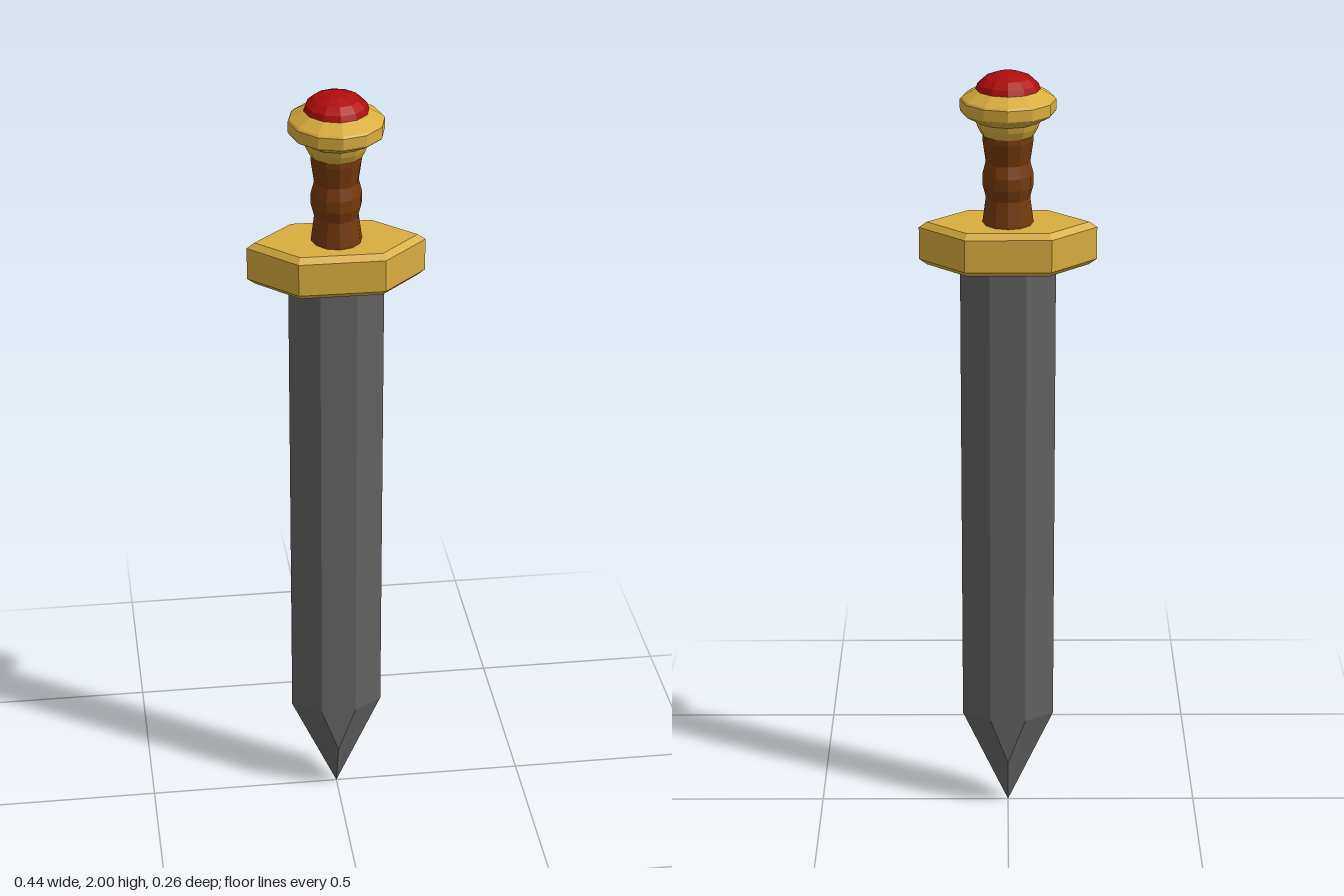
import * as THREE from 'three';

const mat = (name, color) => {
  const m = new THREE.MeshStandardMaterial({ color, flatShading: true });
  m.name = name;
  return m;
};

export function createModel() {
  const group = new THREE.Group();
  const steel = mat('steel', 0x636363);
  const gold = mat('gold', 0xd9ad3e);
  const leather = mat('leather', 0x763a0e);
  const ruby = mat('ruby', 0xaf0d0d);

  const add = (name, geometry, material) => {
    const mesh = new THREE.Mesh(geometry, material);
    mesh.name = name;
    group.add(mesh);
    return mesh;
  };

  // Twelve-sided turned part, slightly deeper than wide
  const turned = (name, profile, material) => {
    const points = profile.map(([r, y]) => new THREE.Vector2(r, y));
    const mesh = add(name, new THREE.LatheGeometry(points, 12), material);
    mesh.scale.z = 1.12;
    return mesh;
  };

  // Blade: hexagonal section, with flats ending in a V above the tip
  const W = 0.12, F = 0.046, D = 0.05, SHOULDER = 0.26, TOP = 1.54;
  const pos = [];
  const tri = (a, b, c, flip) => pos.push(...a, ...(flip ? c : b), ...(flip ? b : c));
  for (const sx of [1, -1]) for (const sz of [1, -1]) {
    const flip = sx * sz < 0;
    const p = (x, y, z) => [x * sx, y, z * sz];
    const tip = p(0, 0, 0), vee = p(0, 0.135, D), midTop = p(0, TOP, D);
    const ridge = p(F, SHOULDER, D), ridgeTop = p(F, TOP, D);
    const edge = p(W, SHOULDER, 0), edgeTop = p(W, TOP, 0);
    tri(vee, ridge, ridgeTop, flip);
    tri(vee, ridgeTop, midTop, flip);
    tri(ridge, edge, edgeTop, flip);
    tri(ridge, edgeTop, ridgeTop, flip);
    tri(tip, edge, ridge, flip);
    tri(tip, ridge, vee, flip);
  }
  const blade = new THREE.BufferGeometry();
  blade.setAttribute('position', new THREE.Float32BufferAttribute(pos, 3));
  blade.computeVertexNormals();
  add('blade', blade, steel);

  // Cross guard: pointed hexagon with chamfered rims
  const outline = new THREE.Shape([
    [0.222, 0], [0.107, 0.117], [-0.107, 0.117],
    [-0.222, 0], [-0.107, -0.117], [0.107, -0.117],
  ].map(([x, y]) => new THREE.Vector2(x, y)));
  const guard = new THREE.ExtrudeGeometry(outline, {
    depth: 0.082, bevelEnabled: true, bevelSegments: 1,
    bevelSize: 0.014, bevelThickness: 0.014, bevelOffset: -0.014,
  });
  guard.rotateX(-Math.PI / 2).translate(0, 1.524, 0);
  add('guard', guard, gold);

  // Grip with finger swells
  turned('grip', [
    [0.064, 1.6], [0.063, 1.625], [0.055, 1.685], [0.063, 1.715],
    [0.063, 1.745], [0.055, 1.775], [0.063, 1.83], [0.063, 1.86],
  ], leather);

  // Pommel with a collar underneath
  turned('pommel', [
    [0, 1.845], [0.066, 1.845], [0.076, 1.865], [0.08, 1.88], [0.115, 1.9],
    [0.118, 1.905], [0.118, 1.932], [0.114, 1.937], [0.08, 1.957], [0, 1.957],
  ], gold);

  // Domed jewel set in the pommel
  const dome = [];
  for (let i = 0; i <= 4; i++) {
    const a = (i / 4) * Math.PI / 2;
    dome.push([0.081 * Math.cos(a), 1.953 + 0.047 * Math.sin(a)]);
  }
  turned('jewel', dome, ruby);

  return group;
}
